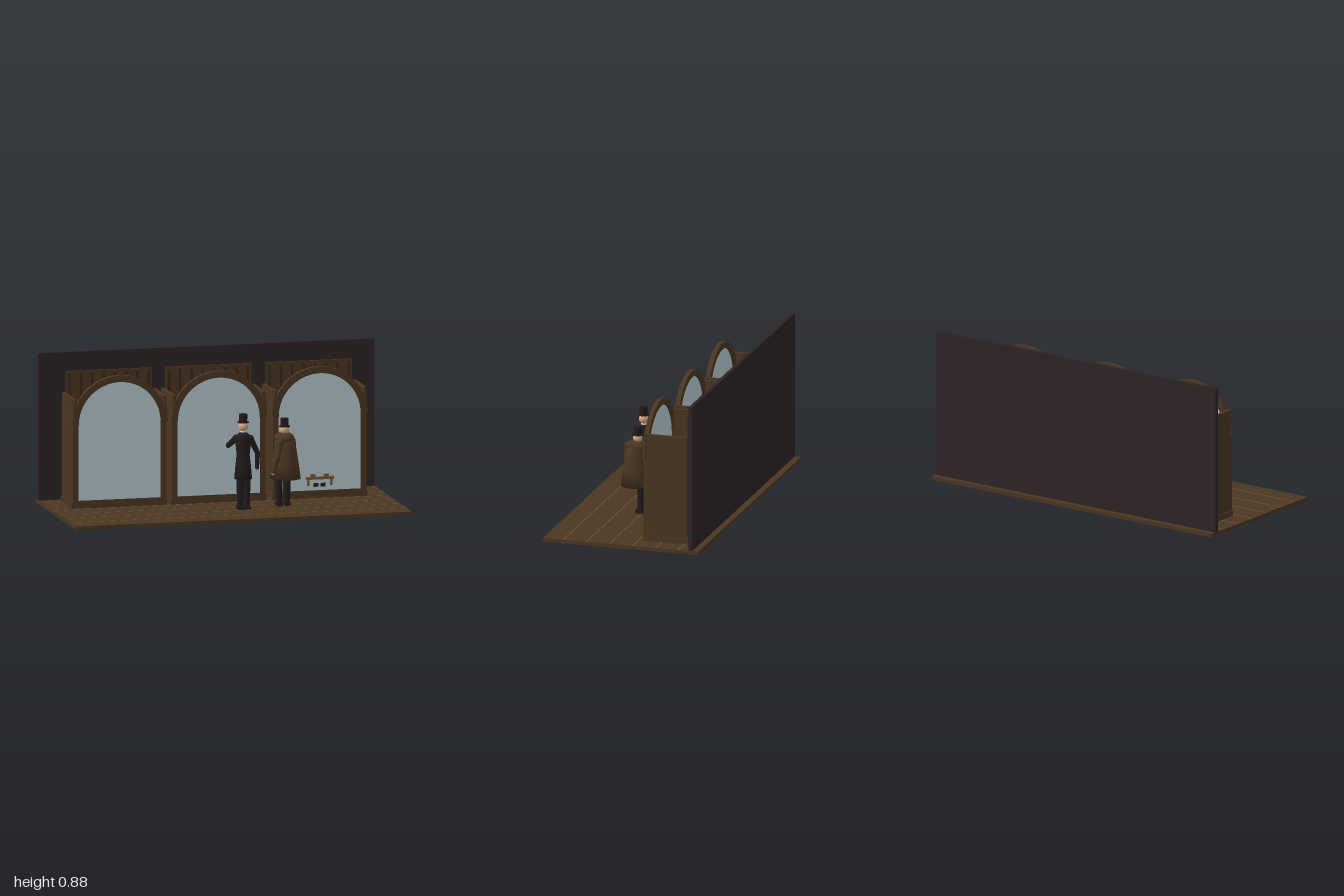
import * as THREE from 'three';

const mat = (name, color, opts = {}) => {
  const m = new THREE.MeshStandardMaterial({ color, ...opts });
  m.name = name;
  return m;
};
const V = (x, y, z) => new THREE.Vector3(x, y, z);

export function createModel() {
  const wood = mat('brown wood', 0x4a3622);
  const darkWood = mat('dark wood', 0x382816);
  const seam = mat('plank seam', 0x6e4c2a);
  const wallMat = mat('dark wall', 0x2e2325);
  const glass = mat('pale glass', 0xb6c9cf, { side: THREE.DoubleSide });
  const red = mat('red cloth', 0x5a1e27);
  const black = mat('black cloth', 0x231b1e);
  const skin = mat('skin', 0xd6a584);
  const white = mat('off white', 0xddd8cc);
  const tan = mat('tan wood', 0x7a5630);

  const root = new THREE.Group();
  root.name = 'arcadeScene';
  const add = (parent, name, geo, material, x = 0, y = 0, z = 0) => {
    const m = new THREE.Mesh(geo, material);
    m.name = name;
    m.position.set(x, y, z);
    parent.add(m);
    return m;
  };
  // box given by its minimum and maximum corners
  const box = (p, name, m, x0, x1, y0, y1, z0, z1) =>
    add(p, name, new THREE.BoxGeometry(x1 - x0, y1 - y0, z1 - z0), m,
      (x0 + x1) / 2, (y0 + y1) / 2, (z0 + z1) / 2);
  const ball = (p, name, m, r, x, y, z) =>
    add(p, name, new THREE.SphereGeometry(r, 16, 12), m, x, y, z);
  const cyl = (p, name, m, rTop, rBottom, y0, y1, x, z) =>
    add(p, name, new THREE.CylinderGeometry(rTop, rBottom, y1 - y0, 14), m, x, (y0 + y1) / 2, z);
  const limb = (p, name, m, a, b, rA, rB) => {
    const d = b.clone().sub(a);
    const mesh = add(p, name, new THREE.CylinderGeometry(rB, rA, d.length(), 10), m);
    mesh.position.copy(a).addScaledVector(d, 0.5);
    mesh.quaternion.setFromUnitVectors(V(0, 1, 0), d.normalize());
    return mesh;
  };
  const lathe = (p, name, m, pts, x, z) =>
    add(p, name, new THREE.LatheGeometry(pts.map(([r, y]) => new THREE.Vector2(r, y)), 16), m, x, 0, z);

  // Plank floor and back wall
  box(root, 'floor', wood, -1, 1, 0, 0.022, -0.47, 0.47);
  for (const z of [-0.352, -0.213, -0.073, 0.066, 0.205, 0.345])
    box(root, 'floorSeam', seam, -1, 1, 0.02, 0.0235, z - 0.004, z + 0.004);
  box(root, 'backWall', wallMat, -1, 1, 0.022, 0.885, -0.432, -0.41);

  // Arched outline: straight jambs below a half circle
  const arch = (S, r, bottom, spring) => {
    const s = new S();
    s.moveTo(-r, bottom);
    s.lineTo(r, bottom);
    s.lineTo(r, spring);
    s.absarc(0, spring, r, 0, Math.PI, false);
    s.closePath();
    return s;
  };
  const SPRING = 0.508;

  function booth(cx) {
    const g = new THREE.Group();
    g.name = 'booth';
    g.position.x = cx;
    root.add(g);
    box(g, 'base', wood, -0.285, 0.285, 0.022, 0.055, -0.37, -0.1);
    box(g, 'redFloor', red, -0.255, 0.255, 0.055, 0.06, -0.343, -0.122);
    box(g, 'backPanel', wood, -0.256, 0.256, 0.055, 0.783, -0.359, -0.347);
    for (let i = 0; i < 8; i++) {
      const x = -0.235 + i * 0.067;
      box(g, 'backSlat', darkWood, x - 0.008, x + 0.008, 0.06, 0.768, -0.348, -0.342);
    }
    for (const s of [-1, 1]) {
      const wall = box(g, 'sideWall', wood, -0.01, 0.01, 0.055, 0.66, -0.359, -0.118);
      wall.position.x = s * 0.268;
      // corner braces beside the arch
      limb(g, 'cornerBrace', wood, V(s * 0.278, 0.51, -0.108), V(s * 0.264, 0.66, -0.108), 0.012, 0.012);
    }
    box(g, 'signPlate', white, -0.115, 0.115, 0.585, 0.68, -0.34, -0.334);

    // Front frame, raised arch ring and glass
    const frame = arch(THREE.Shape, 0.278, 0.05, SPRING);
    frame.holes.push(arch(THREE.Path, 0.246, 0.066, SPRING));
    add(g, 'frontFrame', new THREE.ExtrudeGeometry(frame, { depth: 0.02, bevelEnabled: false, curveSegments: 20 }),
      wood, 0, 0, -0.12);
    const ring = new THREE.Shape();
    ring.absarc(0, SPRING, 0.283, 0, Math.PI, false);
    ring.lineTo(-0.245, SPRING);
    ring.absarc(0, SPRING, 0.245, Math.PI, 0, true);
    ring.closePath();
    add(g, 'archRing', new THREE.ExtrudeGeometry(ring, { depth: 0.026, bevelEnabled: false, curveSegments: 18 }),
      wood, 0, 0, -0.121);
    add(g, 'glassPane', new THREE.ShapeGeometry(arch(THREE.Shape, 0.248, 0.062, SPRING), 20), glass, 0, 0, -0.108);
    return g;
  }

  // Figure shown inside a booth, sitting on a stool
  function sitter(g, cloth, hair) {
    const z = -0.235;
    cyl(g, 'stool', tan, 0.05, 0.05, 0.06, 0.16, 0, z);
    lathe(g, 'torso', cloth, [[0, 0.15], [0.055, 0.15], [0.045, 0.2], [0.06, 0.28], [0.025, 0.32], [0, 0.325]], 0, z);
    ball(g, 'head', skin, 0.033, 0, 0.355, z + 0.004);
    ball(g, 'hair', hair, 0.034, 0, 0.363, z - 0.004);
    for (const s of [-1, 1]) {
      const elbow = V(s * 0.072, 0.215, z + 0.02);
      limb(g, 'upperArm', cloth, V(s * 0.055, 0.29, z), elbow, 0.02, 0.016);
      limb(g, 'forearm', cloth, elbow, V(s * 0.04, 0.19, z + 0.075), 0.016, 0.013);
      ball(g, 'hand', skin, 0.013, s * 0.04, 0.19, z + 0.08);
      limb(g, 'thigh', cloth, V(s * 0.025, 0.165, z), V(s * 0.022, 0.16, z + 0.09), 0.022, 0.018);
      limb(g, 'shin', cloth, V(s * 0.022, 0.16, z + 0.09), V(s * 0.02, 0.1, z + 0.1), 0.017, 0.013);
    }
  }

  // Left booth: dark figure with a sheet and a small box
  const left = booth(-0.595);
  sitter(left, black, black);
  box(left, 'sheet', white, -0.05, 0.05, 0.19, 0.197, -0.18, -0.135);
  box(left, 'smallBox', tan, 0.075, 0.145, 0.06, 0.13, -0.225, -0.165);

  // Middle booth: broad bare figure with a pale pointed beard
  const middle = booth(-0.005);
  sitter(middle, skin, skin);
  for (const s of [-1, 1]) ball(middle, 'shoulder', skin, 0.036, s * 0.05, 0.285, -0.235);
  limb(middle, 'beard', white, V(0, 0.345, -0.205), V(0, 0.27, -0.165), 0.026, 0.003);

  // Right booth: pale figure at a low bench
  const right = booth(0.595);
  sitter(right, white, black);
  box(right, 'benchTop', tan, -0.083, 0.083, 0.132, 0.147, -0.18, -0.088);
  for (const s of [-1, 1]) {
    box(right, 'benchLeg', tan, s * 0.068 - 0.006, s * 0.068 + 0.006, 0.095, 0.132, -0.112, -0.097);
    box(right, 'benchBlock', tan, s * 0.04 - 0.014, s * 0.04 + 0.014, 0.147, 0.162, -0.13, -0.096);
    box(right, 'shoe', black, s * 0.021 - 0.014, s * 0.021 + 0.014, 0.088, 0.108, -0.15, -0.099);
  }
  limb(right, 'stick', tan, V(0.11, 0.06, -0.14), V(0.11, 0.3, -0.22), 0.006, 0.006);

  // Visitor parts shared by both standing figures
  function hatAndHead(g, x, z, headY, brimY, r) {
    ball(g, 'head', skin, 0.028, x, headY, z);
    cyl(g, 'neck', skin, 0.014, 0.014, headY - 0.05, headY, x, z);
    cyl(g, 'hatBrim', black, r + 0.01, r + 0.01, brimY - 0.002, brimY + 0.003, x, z);
    cyl(g, 'hatCrown', black, r, r * 0.95, brimY, brimY + 0.049, x, z);
  }
  function leg(g, x, z, top) {
    cyl(g, 'leg', black, 0.023, 0.017, 0.035, top, x, z);
    box(g, 'shoe', black, x - 0.017, x + 0.017, 0.022, 0.04, z - 0.036, z + 0.03);
  }
  function arm(g, m, shoulder, elbow, hand) {
    ball(g, 'shoulder', m, 0.021, ...shoulder.toArray());
    limb(g, 'upperArm', m, shoulder, elbow, 0.019, 0.015);
    ball(g, 'elbow', m, 0.015, ...elbow.toArray());
    limb(g, 'forearm', m, elbow, hand, 0.015, 0.011);
    ball(g, 'hand', skin, 0.011, ...hand.toArray());
  }

  // Tall visitor in a black frock coat
  const tall = new THREE.Group();
  tall.name = 'tallVisitor';
  root.add(tall);
  lathe(tall, 'coat', black, [[0, 0.2], [0.052, 0.2], [0.045, 0.28], [0.038, 0.34], [0.046, 0.42], [0.04, 0.455], [0.016, 0.473], [0, 0.475]], 0.077, 0.145);
  cyl(tall, 'collar', white, 0.016, 0.018, 0.466, 0.48, 0.077, 0.145);
  hatAndHead(tall, 0.077, 0.147, 0.505, 0.53, 0.024);
  leg(tall, 0.058, 0.15, 0.22);
  leg(tall, 0.1, 0.14, 0.22);
  arm(tall, black, V(0.04, 0.435, 0.125), V(0.008, 0.385, 0.07), V(0.058, 0.43, 0.088));
  arm(tall, black, V(0.117, 0.435, 0.157), V(0.158, 0.35, 0.162), V(0.155, 0.255, 0.163));

  // Stout visitor in a brown caped coat, with a cane
  const stout = new THREE.Group();
  stout.name = 'stoutVisitor';
  root.add(stout);
  lathe(stout, 'coat', wood, [[0, 0.185], [0.09, 0.185], [0.077, 0.28], [0.064, 0.36], [0.06, 0.41], [0.03, 0.445], [0, 0.45]], 0.337, 0.11);
  add(stout, 'cape', new THREE.SphereGeometry(1, 18, 12), wood, 0.332, 0.422, 0.103).scale.set(0.058, 0.032, 0.075);
  hatAndHead(stout, 0.334, 0.102, 0.468, 0.487, 0.023);
  leg(stout, 0.305, 0.085, 0.2);
  leg(stout, 0.355, 0.078, 0.2);
  arm(stout, wood, V(0.29, 0.405, 0.175), V(0.268, 0.315, 0.193), V(0.248, 0.228, 0.175));
  arm(stout, wood, V(0.368, 0.4, 0.025), V(0.388, 0.315, -0.008), V(0.362, 0.21, -0.01));
  limb(stout, 'cane', darkWood, V(0.362, 0.028, -0.034), V(0.362, 0.215, -0.014), 0.004, 0.004);
  for (const y of [0.26, 0.31, 0.36])
    ball(stout, 'coatButton', black, 0.005, 0.337 - 0.055, y, 0.11 - 0.04);

  return root;
}
